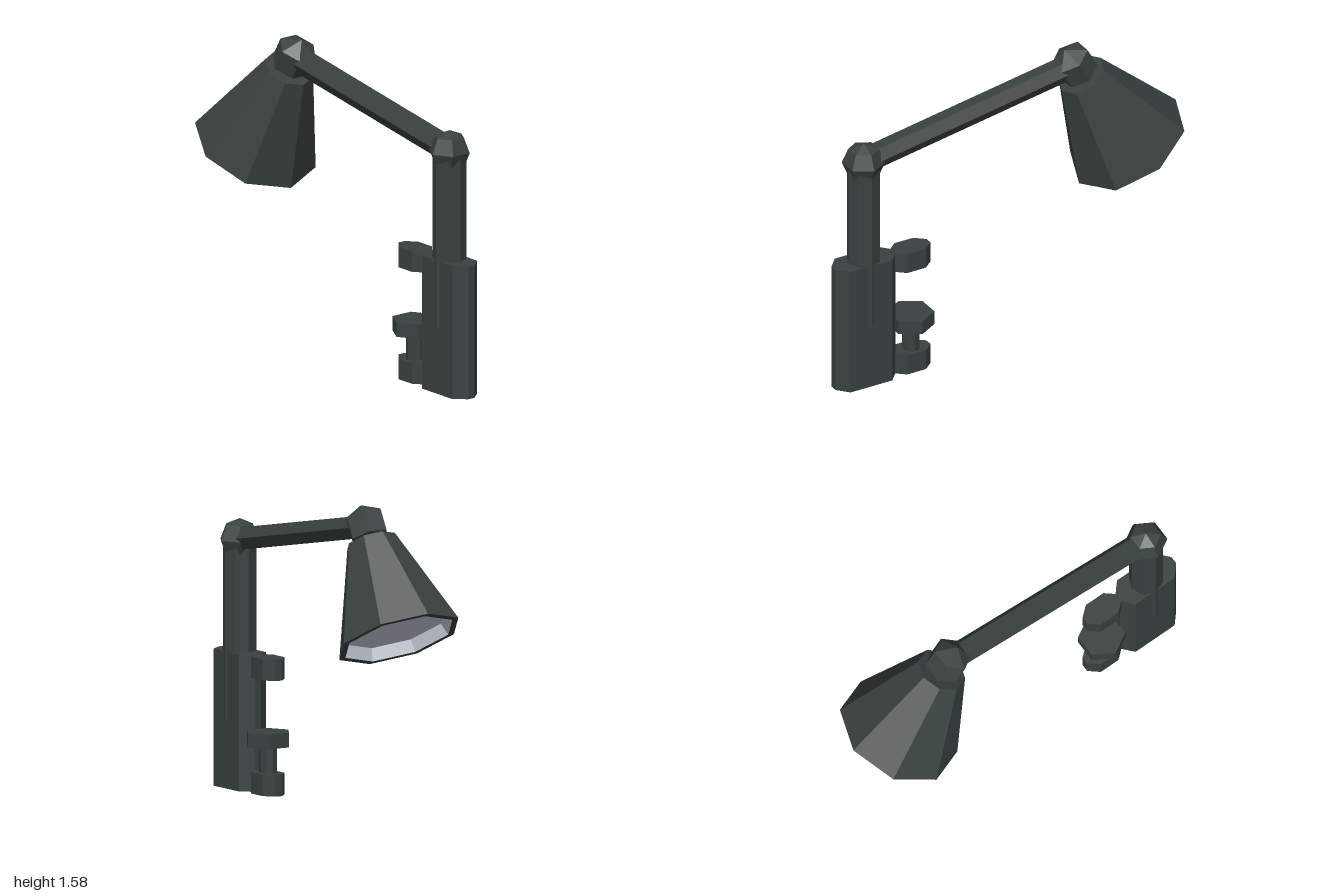
import * as THREE from 'three';

const dark = new THREE.MeshStandardMaterial({ color: 0x39413f });
dark.name = 'dark metal';
const pale = new THREE.MeshStandardMaterial({ color: 0xc9cfdc });
pale.name = 'pale lamp glass';

// Faceted mesh: every face gets its own normal
function part(name, geometry, material = dark) {
  const flat = geometry.index ? geometry.toNonIndexed() : geometry;
  flat.computeVertexNormals();
  const mesh = new THREE.Mesh(flat, material);
  mesh.name = name;
  return mesh;
}

// Upright prism with corners on +x and -x
function prism(name, radius, sides, y0, y1, z) {
  const g = new THREE.CylinderGeometry(radius, radius, y1 - y0, sides, 1, false, Math.PI / 2);
  return part(name, g.translate(0, (y0 + y1) / 2, z));
}

// Upright block with its four vertical edges cut off
function chamferedBlock(name, halfWidth, z0, z1, y0, y1) {
  const h = (z1 - z0) / 2, tip = 0.02, cut = 0.053;
  const corners = [
    [tip, -h], [halfWidth, cut - h], [halfWidth, h - cut], [tip, h],
    [-tip, h], [-halfWidth, h - cut], [-halfWidth, cut - h], [-tip, -h],
  ].map(([x, y]) => new THREE.Vector2(x, y));
  const g = new THREE.ExtrudeGeometry(new THREE.Shape(corners), { depth: y1 - y0, bevelEnabled: false });
  g.rotateX(-Math.PI / 2).translate(0, y0, (z0 + z1) / 2);
  return part(name, g);
}

// Eight-sided turned surface from [radius, y] pairs
function turned(name, profile, material) {
  return part(name, new THREE.LatheGeometry(profile.map(([r, y]) => new THREE.Vector2(r, y)), 8), material);
}

export function createModel() {
  const lamp = new THREE.Group();
  lamp.name = 'clampLamp';

  // Clamp with two jaws, a screw and its nut
  const clamp = new THREE.Group();
  clamp.name = 'clamp';
  clamp.add(
    chamferedBlock('clampBody', 0.08, 0.65, 1, 0, 0.7),
    chamferedBlock('upperJaw', 0.065, 0.445, 0.66, 0.59, 0.7),
    chamferedBlock('lowerJaw', 0.065, 0.445, 0.66, 0, 0.11),
    prism('clampScrew', 0.046, 8, 0.1, 0.25, 0.55),
    prism('clampNut', 0.12, 6, 0.245, 0.32, 0.55),
  );
  lamp.add(clamp);

  // Post and its top joint
  lamp.add(prism('post', 0.087, 8, 0.35, 1.265, 0.825));
  const elbow = part('elbowJoint', new THREE.SphereGeometry(0.11, 6, 4));
  elbow.position.set(0, 1.265, 0.825);
  lamp.add(elbow);

  // Sloping arm between the two joints
  const start = new THREE.Vector3(0, 1.27, 0.825);
  const end = new THREE.Vector3(0, 1.482, -0.41);
  const run = end.clone().sub(start);
  const arm = prism('arm', 0.065, 6, -run.length() / 2, run.length() / 2, 0);
  arm.position.copy(start).add(end).multiplyScalar(0.5);
  arm.rotation.x = Math.atan2(run.z, run.y);
  lamp.add(arm);

  // Tilted head: joint, shade and recessed glass
  const head = new THREE.Group();
  head.name = 'lampHead';
  head.position.set(0, 1.48, -0.408);
  head.rotation.x = Math.PI / 6;
  head.add(
    part('headJoint', new THREE.SphereGeometry(0.118, 6, 3)),
    turned('shade', [[0.293, -0.618], [0.326, -0.618], [0.13, -0.08], [0, -0.08]], dark),
    turned('lampGlass', [[0, -0.555], [0.268, -0.555], [0.293, -0.618]], pale),
  );
  lamp.add(head);

  return lamp;
}
